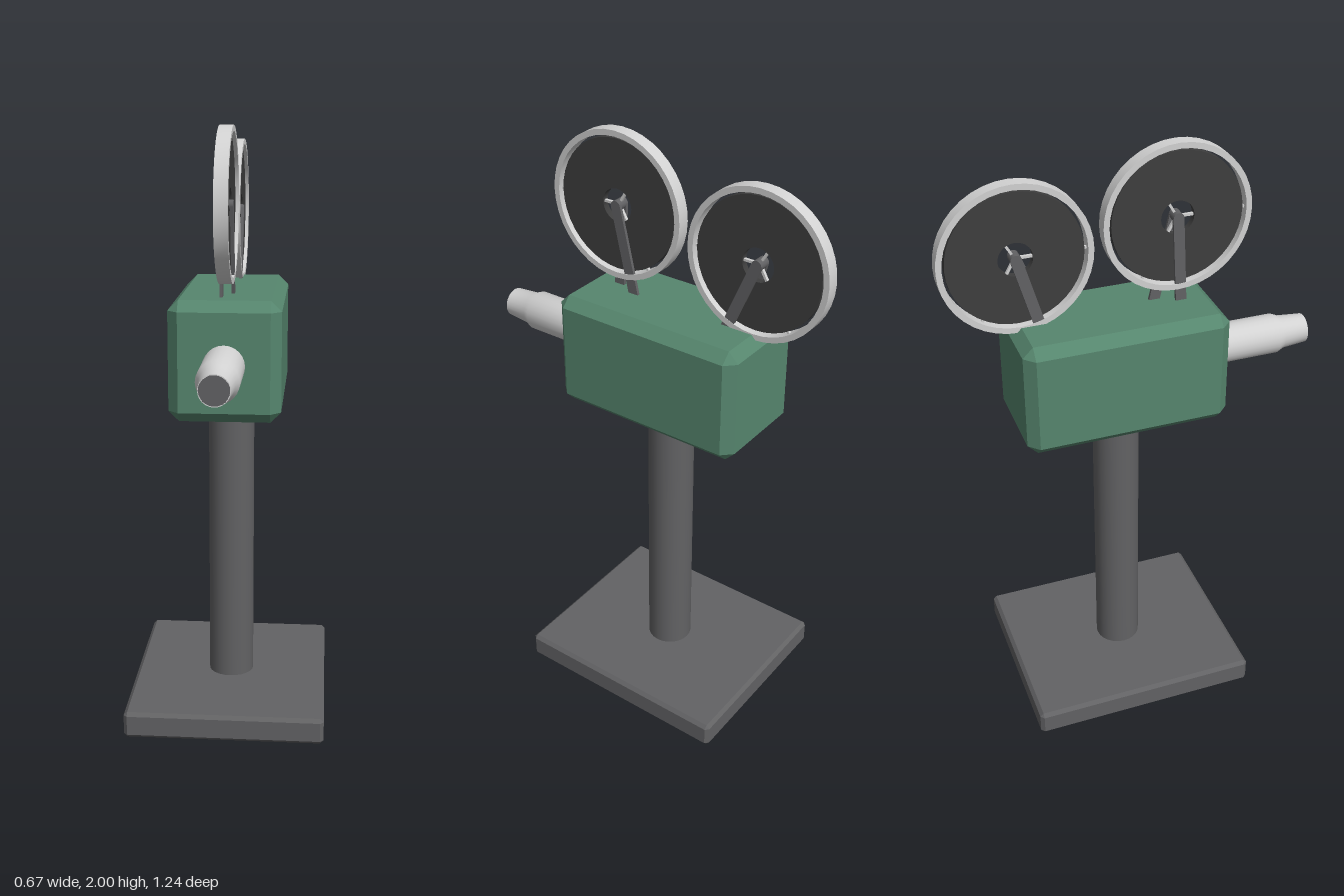
import * as THREE from 'three';
import { ConvexGeometry } from 'three/addons/geometries/ConvexGeometry.js';
import { toCreasedNormals } from 'three/addons/utils/BufferGeometryUtils.js';

const mat = (name, color, side = THREE.FrontSide) => {
  const m = new THREE.MeshStandardMaterial({ color, side });
  m.name = name;
  return m;
};

export function createModel() {
  const green = mat('green paint', 0x56866e);
  const grey = mat('dark grey metal', 0x626264);
  const silver = mat('light metal', 0xd2d2d2);
  const black = mat('black film', 0x3e3e3e);

  const root = new THREE.Group();
  root.name = 'filmCamera';

  const add = (parent, name, geo, material, x = 0, y = 0, z = 0) => {
    const mesh = new THREE.Mesh(geo, material);
    mesh.name = name;
    mesh.position.set(x, y, z);
    parent.add(mesh);
    return mesh;
  };

  // Box with every edge chamfered by c
  const chamferBox = (w, h, d, c) => {
    const pts = [];
    for (const sx of [-1, 1]) for (const sy of [-1, 1]) for (const sz of [-1, 1]) {
      const [x, y, z] = [w / 2, h / 2, d / 2];
      pts.push(new THREE.Vector3(sx * x, sy * (y - c), sz * (z - c)));
      pts.push(new THREE.Vector3(sx * (x - c), sy * y, sz * (z - c)));
      pts.push(new THREE.Vector3(sx * (x - c), sy * (y - c), sz * z));
    }
    return new ConvexGeometry(pts);
  };

  // Closed ring around the x axis with a rectangular section
  const ringX = (inner, outer, half, segments) => {
    const profile = [[inner, -half], [outer, -half], [outer, half], [inner, half], [inner, -half]]
      .map(([r, y]) => new THREE.Vector2(r, y));
    const geo = toCreasedNormals(new THREE.LatheGeometry(profile, segments), 0.6);
    return geo.rotateZ(Math.PI / 2);
  };

  // Stand
  add(root, 'basePlate', chamferBox(0.67, 0.09, 0.79, 0.012), grey, 0, 0.045, -0.06);
  add(root, 'column', new THREE.CylinderGeometry(0.078, 0.078, 1.03, 24), grey, 0, 0.595, -0.055);

  // Camera housing
  add(root, 'housing', chamferBox(0.36, 0.39, 0.68, 0.034), green, 0, 1.275, -0.06);

  // Lens barrel, stepped towards the front
  const barrel = [[0.067, 0.26], [0.067, 0.51], [0.056, 0.535], [0.049, 0.62], [0.046, 0.62]]
    .map(([r, z]) => new THREE.Vector2(r, z));
  const barrelGeo = toCreasedNormals(new THREE.LatheGeometry(barrel, 24), 0.7).rotateX(Math.PI / 2);
  add(root, 'lensBarrel', barrelGeo, silver, 0, 1.267, 0);
  add(root, 'lensGlass', new THREE.CircleGeometry(0.047, 24), grey, 0, 1.267, 0.62);

  // Flat bar in the y-z plane between two [z, y] points
  const bar = (parent, name, a, b, x, thick, width, material) => {
    const dz = b[0] - a[0], dy = b[1] - a[1];
    const mesh = add(parent, name, new THREE.BoxGeometry(thick, Math.hypot(dz, dy), width), material,
      x, (a[1] + b[1]) / 2, (a[0] + b[0]) / 2);
    mesh.rotation.x = Math.atan2(dz, dy);
  };

  // Film reels, each held between two arms
  const reels = [
    { name: 'frontReel', z: 0.15, y: 1.755, rightFoot: 0.08, leftFoot: 0.165 },
    { name: 'rearReel', z: -0.37, y: 1.7, rightFoot: -0.265, leftFoot: -0.3 },
  ];
  for (const r of reels) {
    const reel = new THREE.Group();
    reel.name = r.name;
    root.add(reel);
    add(reel, 'rim', ringX(0.226, 0.245, 0.022, 40), silver, 0, r.y, r.z);
    add(reel, 'filmRoll', ringX(0.055, 0.217, 0.011, 40), black, 0, r.y, r.z);
    for (let i = 0; i < 3; i++) {
      const a = i * Math.PI * 2 / 3;
      bar(reel, 'spoke', [r.z, r.y],
        [r.z + 0.23 * Math.cos(a), r.y + 0.23 * Math.sin(a)], 0, 0.01, 0.008, silver);
    }
    const pin = add(reel, 'hubPin', new THREE.CylinderGeometry(0.018, 0.018, 0.042, 16), grey, 0, r.y, r.z);
    pin.rotation.z = Math.PI / 2;
    bar(reel, 'rightArm', [r.z, r.y], [r.rightFoot, 1.45], 0.016, 0.01, 0.036, grey);
    bar(reel, 'leftArm', [r.z, r.y], [r.leftFoot, 1.45], -0.016, 0.01, 0.036, grey);
  }

  return root;
}
